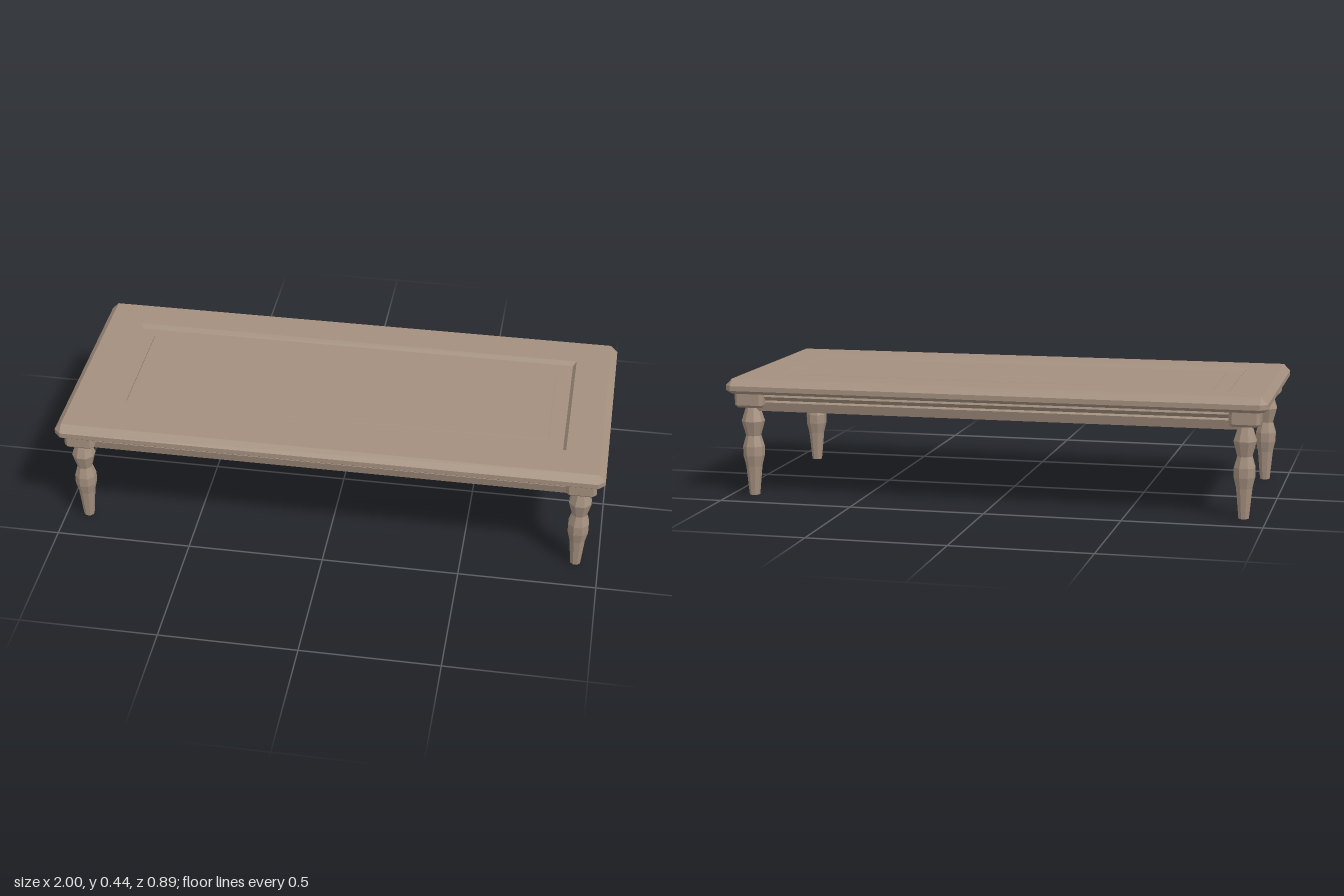
import * as THREE from 'three';

const wood = new THREE.MeshStandardMaterial({ color: 0xa38f7e, flatShading: true });

// Eight-point rectangle with clipped corners, counter-clockwise from above
function ring([hx, hz, y, c = 0]) {
  const a = hx - c, b = hz - c;
  return [[a, hz], [hx, b], [hx, -b], [a, -hz], [-a, -hz], [-hx, -b], [-hx, b], [-a, hz]]
    .map(([x, z]) => new THREE.Vector3(x, y, z));
}

// Shell through rectangular sections [halfX, halfZ, y, cornerClip]
function rectLoft(sections, capStart, capEnd) {
  const pos = [];
  const tri = (a, b, c) => {
    if (new THREE.Triangle(a, b, c).getArea() < 1e-9) return;
    for (const p of [a, b, c]) pos.push(p.x, p.y, p.z);
  };
  const rings = sections.map(ring);
  for (let s = 0; s < rings.length - 1; s++) {
    const lo = rings[s], hi = rings[s + 1];
    for (let i = 0; i < 8; i++) {
      const j = (i + 1) % 8;
      tri(lo[i], lo[j], hi[j]);
      tri(lo[i], hi[j], hi[i]);
    }
  }
  const first = rings[0], last = rings[rings.length - 1];
  for (let i = 1; i < 7; i++) {
    if (capStart) tri(first[0], first[i + 1], first[i]);
    if (capEnd) tri(last[0], last[i], last[i + 1]);
  }
  const g = new THREE.BufferGeometry();
  g.setAttribute('position', new THREE.Float32BufferAttribute(pos, 3));
  g.computeVertexNormals();
  return g;
}

function addMesh(parent, name, geometry) {
  const m = new THREE.Mesh(geometry, wood);
  m.name = name;
  parent.add(m);
  return m;
}

export function createModel() {
  const table = new THREE.Group();
  table.name = 'coffeeTable';

  // Tabletop: underside, bevelled edge, sunken groove and raised centre panel
  addMesh(table, 'tabletop', rectLoft([
    [0.885, 0.33, 0.41],
    [0.885, 0.33, 0.39],
    [0.985, 0.43, 0.39, 0.018],
    [1, 0.445, 0.402, 0.025],
    [1, 0.445, 0.42, 0.025],
    [0.975, 0.42, 0.445],
    [0.85, 0.29, 0.445],
    [0.838, 0.278, 0.43],
    [0.783, 0.223, 0.43],
    [0.778, 0.218, 0.438],
  ], true, true));

  // Apron: inner wall, bottom lip and moulded outer face
  addMesh(table, 'apron', rectLoft([
    [0.885, 0.33, 0.405],
    [0.885, 0.33, 0.32],
    [0.93, 0.375, 0.32],
    [0.94, 0.385, 0.354],
    [0.934, 0.379, 0.361],
    [0.95, 0.395, 0.376],
    [0.943, 0.388, 0.391],
  ], false, false));

  // Corner blocks and turned octagonal legs
  const block = rectLoft([
    [0.045, 0.045, 0.335, 0.008],
    [0.055, 0.055, 0.345, 0.012],
    [0.055, 0.055, 0.392, 0.012],
  ], true, true);
  const profile = [[0, 0], [0.018, 0], [0.028, 0.11], [0.037, 0.15], [0.037, 0.185],
    [0.026, 0.225], [0.04, 0.28], [0.022, 0.34]];
  const turned = new THREE.LatheGeometry(
    profile.map(([r, y]) => new THREE.Vector2(r / Math.cos(Math.PI / 8), y)), 8, Math.PI / 8);

  for (const sz of [1, -1]) for (const sx of [1, -1]) {
    const leg = new THREE.Group();
    leg.name = (sz > 0 ? 'front' : 'back') + (sx > 0 ? 'Left' : 'Right') + 'Leg';
    leg.position.set(sx * 0.917, 0, sz * 0.362);
    addMesh(leg, 'cornerBlock', block);
    addMesh(leg, 'turnedLeg', turned);
    table.add(leg);
  }
  return table;
}
